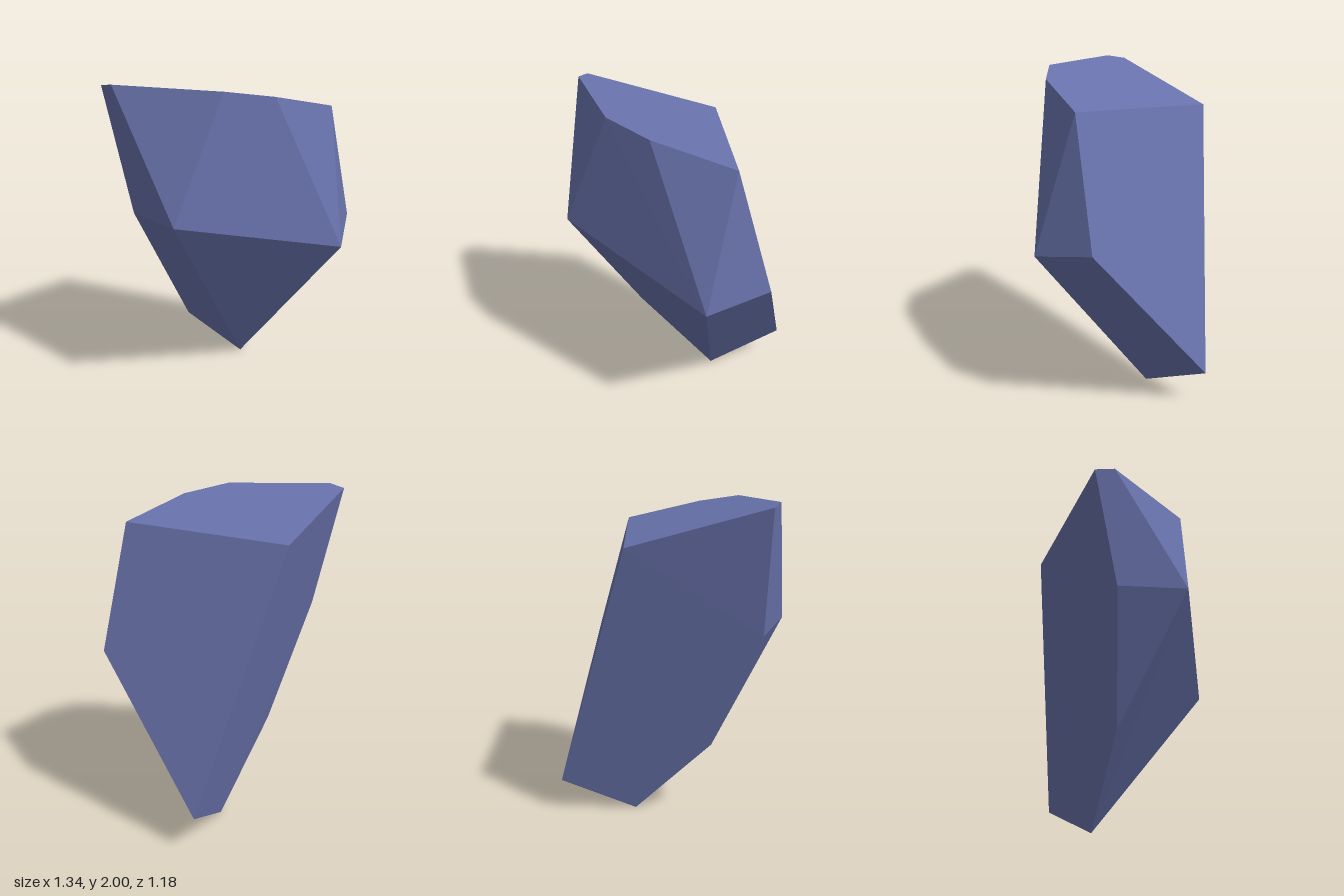
import * as THREE from 'three';
import { ConvexGeometry } from 'three/addons/geometries/ConvexGeometry.js';

export function createModel() {
  const group = new THREE.Group();
  group.name = 'rock';
  const stone = new THREE.MeshStandardMaterial({ color: 0x6872ab });
  stone.name = 'blueStone';

  // corners of the faceted boulder
  const corners = [
    // sloping top
    [-0.655, 1.98, -0.41], [-0.67, 2.0, -0.29], [-0.32, 1.99, 0.25],
    [-0.04, 1.94, 0.37], [0.445, 1.82, 0.375], [0.13, 1.76, -0.59],
    // waist
    [-0.63, 1.26, 0.17], [0.335, 1.0, 0.59], [0.665, 1.075, 0.37], [-0.59, 1.234, -0.248],
    // tapering foot
    [0.665, 0.22, -0.365], [-0.265, 0.49, -0.155], [0.23, 0, -0.18],
  ].map((p) => new THREE.Vector3(...p));

  // the hull keeps separate corners per facet, so every facet shades flat
  const boulder = new THREE.Mesh(new ConvexGeometry(corners), stone);
  boulder.name = 'boulder';
  group.add(boulder);
  return group;
}
